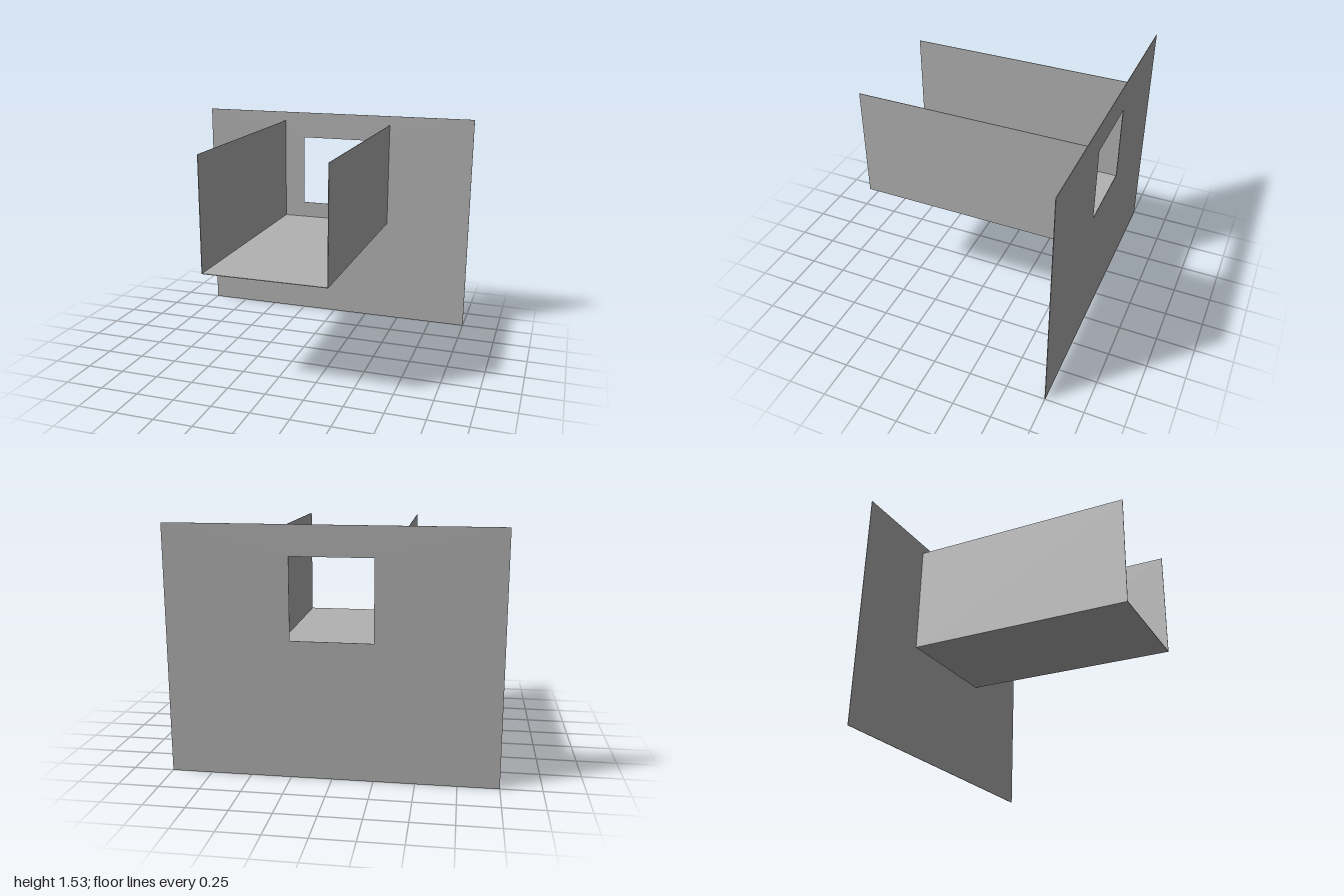
import * as THREE from 'three';

export function createModel() {
  const group = new THREE.Group();
  const grey = new THREE.MeshStandardMaterial({ color: 0xb2b2b2 });
  grey.name = 'grey';

  const T = 0.004; // sheet thickness
  const BACK = -0.752, FRONT = 0.752;
  const FLOOR = 0.738, TOP = 1.47, HALF = 0.4;

  const add = (name, geometry, x, y, z) => {
    const mesh = new THREE.Mesh(geometry, grey);
    mesh.name = name;
    mesh.position.set(x, y, z);
    group.add(mesh);
  };

  // Upright back wall with a square window opening
  const wall = new THREE.Shape();
  wall.moveTo(-1, 0).lineTo(1, 0).lineTo(1, 1.535).lineTo(-1, 1.535).closePath();
  const opening = new THREE.Path();
  opening.moveTo(-0.25, 0.853).lineTo(-0.25, 1.351).lineTo(0.247, 1.351).lineTo(0.247, 0.853).closePath();
  wall.holes.push(opening);
  add('backWall', new THREE.ExtrudeGeometry(wall, { depth: T, bevelEnabled: false }), 0, 0, BACK);

  // Open channel running forward from the wall
  const start = BACK + T;
  const length = FRONT - start;
  const midZ = (FRONT + start) / 2;
  add('channelFloor', new THREE.BoxGeometry(HALF * 2 - T, T, length), 0, FLOOR + T / 2, midZ);
  for (const side of [-1, 1]) {
    add(side > 0 ? 'leftChannelWall' : 'rightChannelWall',
      new THREE.BoxGeometry(T, TOP - FLOOR, length),
      side * (HALF - T / 2), (TOP + FLOOR) / 2, midZ);
  }
  return group;
}
